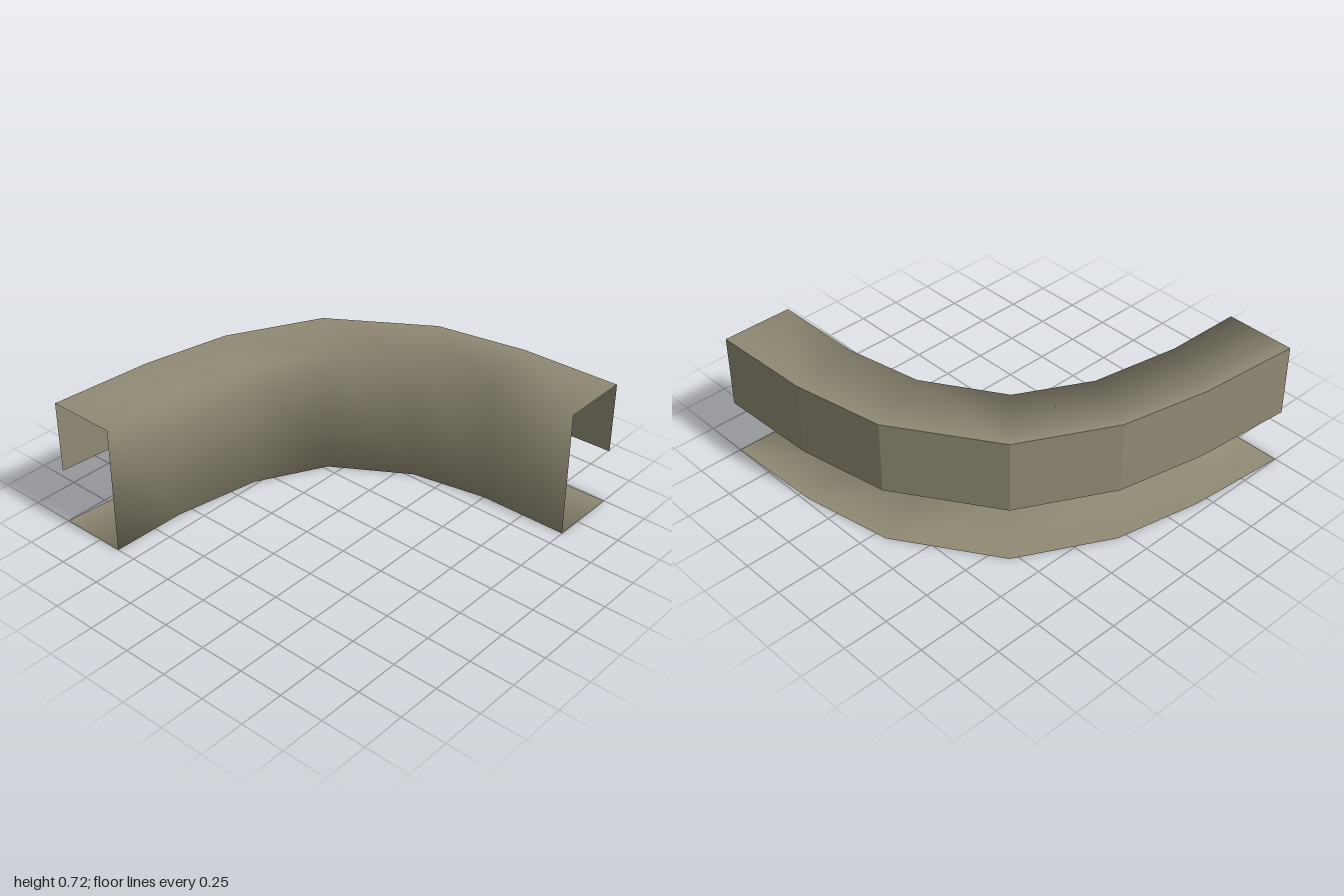
import * as THREE from 'three';

// Plan of the bend, [x, z], from the back end round to the front end
const OUTER = [[-1, -1], [-0.43, -0.95], [0.05, -0.85], [0.54, -0.59], [0.885, -0.06], [0.98, 0.44], [1, 1]];
const INNER = [[-1, -0.615], [-0.58, -0.605], [-0.1, -0.52], [0.275, -0.32], [0.525, -0.08 + 0.0], [0.605, 0.5], [0.61, 1]];
INNER[4][1] = 0.08;

const TOP = 0.72, LIP = 0.315;

// Sheet swept along the bend; each profile entry is [plan line, height]
function sweep(profile) {
  const pos = [], index = [], n = profile.length;
  for (let i = 0; i < OUTER.length; i++) {
    for (const [line, y] of profile) pos.push(line[i][0], y, line[i][1]);
    if (i === 0) continue;
    for (let j = 0; j < n - 1; j++) {
      const a = (i - 1) * n + j, b = a + 1, d = i * n + j, c = d + 1;
      index.push(a, b, c, a, c, d);
    }
  }
  const g = new THREE.BufferGeometry();
  g.setAttribute('position', new THREE.Float32BufferAttribute(pos, 3));
  g.setIndex(index);
  return g;
}

export function createModel() {
  const group = new THREE.Group();
  group.name = 'curvedChannel';
  const stone = new THREE.MeshStandardMaterial({ color: 0x908a74, side: THREE.DoubleSide });
  stone.name = 'greyBeige';

  // Top, inner wall and bottom flange as one smooth sheet
  const channelGeo = sweep([[OUTER, TOP], [INNER, TOP], [INNER, 0], [OUTER, 0]]);
  channelGeo.computeVertexNormals();
  const channel = new THREE.Mesh(channelGeo, stone);
  channel.name = 'channelBody';

  // Faceted outer wall hanging from the top, open below
  const lipGeo = sweep([[OUTER, LIP], [OUTER, TOP]]).toNonIndexed();
  lipGeo.computeVertexNormals();
  const lip = new THREE.Mesh(lipGeo, stone);
  lip.name = 'outerLip';

  group.add(channel, lip);
  return group;
}
